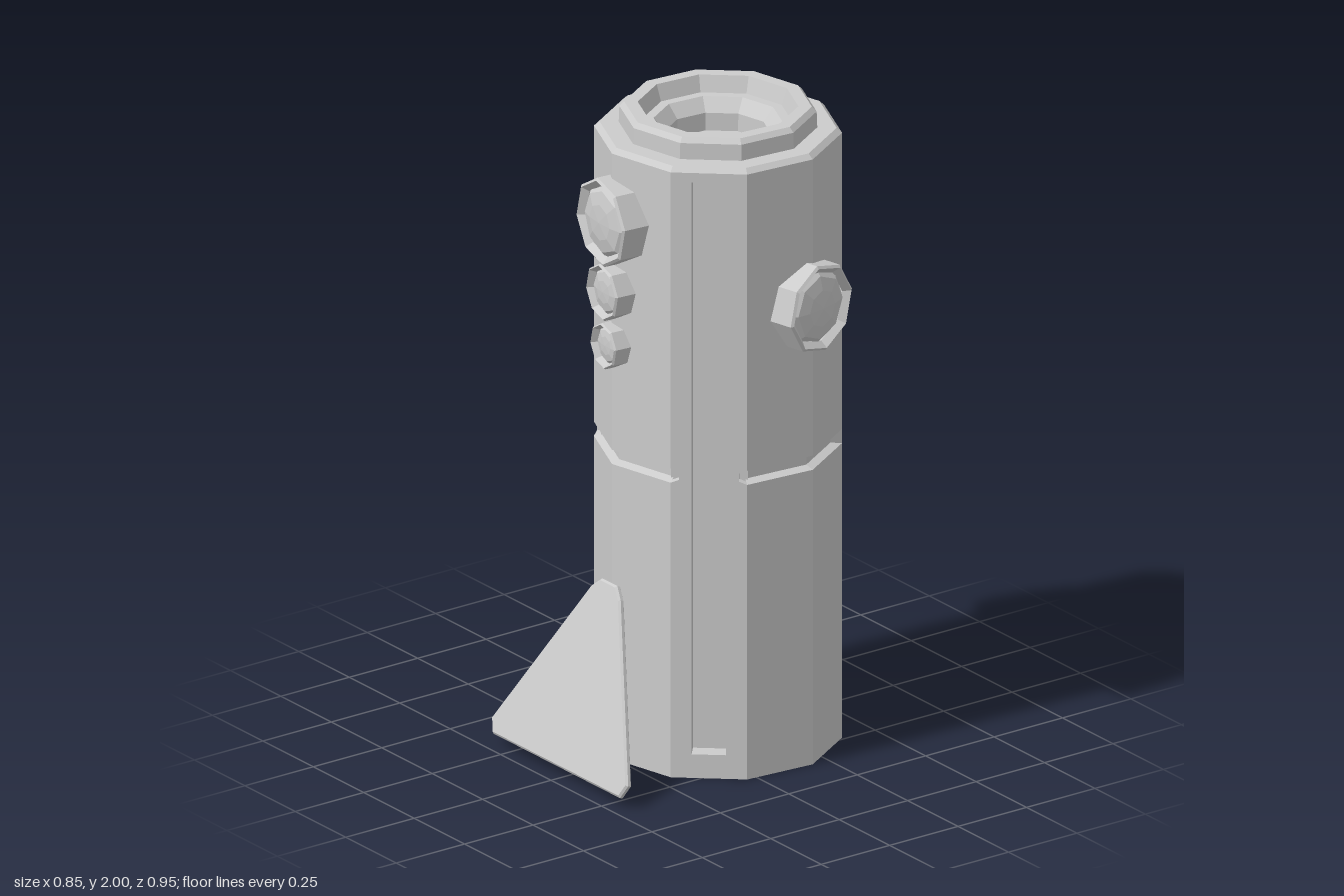
import * as THREE from 'three';

const R = 0.366;                      // corner radius of the ten-sided body
const DEG = Math.PI / 180;
const FRONT = -4.8, BACK = 175.2;     // headings measured from +z towards +x

const mat = new THREE.MeshStandardMaterial({ color: 0xcccccc, flatShading: true, side: THREE.DoubleSide });

function add(parent, name, geo, x = 0, y = 0, z = 0) {
  const mesh = new THREE.Mesh(geo, mat);
  mesh.name = name;
  mesh.position.set(x, y, z);
  parent.add(mesh);
  return mesh;
}

const lathe = (pts, segments, startDeg, spanDeg) => new THREE.LatheGeometry(
  pts.map(p => new THREE.Vector2(...p)), segments, startDeg * DEG, spanDeg * DEG);

const shapeOf = pts => new THREE.Shape(pts.map(p => new THREE.Vector2(...p)));

const extrude = (shape, depth) => new THREE.ExtrudeGeometry(shape, { depth, bevelEnabled: false });

// Group whose local +z points outward along a heading
function facing(parent, name, deg) {
  const g = new THREE.Group();
  g.name = name;
  g.rotation.y = deg * DEG;
  parent.add(g);
  return g;
}

// Flat face with a tall recessed channel; the belt groove runs a little into both edges
function slotPanel(parent, name, deg) {
  const g = facing(parent, name, deg);
  const w = R * Math.sin(18 * DEG), z = R * Math.cos(18 * DEG);
  const n = w - 0.025, skin = 0.025, deep = 0.055;
  const hole = new THREE.Path([[-0.051, 0.075], [-0.051, 1.89], [0.051, 1.89], [0.051, 0.075]]
    .map(p => new THREE.Vector2(...p)));
  const face = shapeOf([[-w, 0], [w, 0], [w, 0.935], [n, 0.945], [n, 0.97], [w, 0.98], [w, 1.92],
    [-w, 1.92], [-w, 0.98], [-n, 0.97], [-n, 0.945], [-w, 0.935]]);
  const channel = shapeOf([[-0.058, 0.068], [0.058, 0.068], [0.058, 1.897], [-0.058, 1.897]]);
  face.holes.push(hole);
  channel.holes.push(hole);
  add(g, 'slotFrame', extrude(face, skin), 0, 0, z - skin);
  add(g, 'slotChannel', extrude(channel, deep - skin), 0, 0, z - deep);
  add(g, 'slotBack', new THREE.BoxGeometry(0.116, 1.829, 0.006), 0, 0.9825, z - deep);
  for (const s of [-1, 1]) {
    add(g, 'grooveEnd', new THREE.BoxGeometry(0.03, 0.045, 0.006), s * (w - 0.015), 0.9575, z - skin);
  }
}

// Eight-sided straight knob with a faceted lens
function knob(parent, name, deg, y, r, out) {
  const g = facing(parent, name, deg);
  const bezel = add(g, 'bezel', lathe([[r, 0.31], [r, out - 0.006], [r * 0.94, out],
    [r * 0.8, out - 0.02]], 8, 8, 360), 0, y, 0);
  bezel.rotation.x = Math.PI / 2;
  const lens = add(g, 'lens', new THREE.SphereGeometry(r * 0.82, 8, 3, 0, Math.PI * 2, 0, Math.PI / 2),
    0, y, out - 0.022);
  lens.rotation.x = Math.PI / 2;
  lens.scale.y = 0.22;
}

// Strip of body above or below the rear opening; its middle corner is drawn in towards the opening
function openingStrip(parent, name, pts) {
  const geo = lathe(pts, 2, BACK - 36, 72);
  const p = geo.attributes.position;
  for (let i = 0; i < p.count; i++) {
    const mid = Math.abs(Math.atan2(p.getX(i), p.getZ(i)) - BACK * DEG) < 0.1;
    if (mid && p.getY(i) > 0.1 && p.getY(i) < 1.9) {
      p.setX(i, p.getX(i) * 0.92);
      p.setZ(i, p.getZ(i) * 0.92);
    }
  }
  add(parent, name, geo);
}

function rearBay(parent) {
  openingStrip(parent, 'baySill', [[R, 0], [R, 0.14], [0.33, 0.162], [0.1, 0.162]]);
  openingStrip(parent, 'bayLintel', [[0.1, 1.84], [0.33, 1.84], [R, 1.86], [R, 1.92]]);

  const g = facing(parent, 'rearBay', BACK);
  const ex = R * Math.sin(36 * DEG), ez = R * Math.cos(36 * DEG);
  for (const side of [-1, 1]) {
    const s = shapeOf([[ex, -ez], [ex - 0.024, -ez - 0.008], [ex - 0.03, -0.11], [ex, -0.11]]
      .map(([x, y]) => [side * x, y]));
    add(g, 'bayJamb', extrude(s, 1.74), 0, 0.13, 0).rotation.x = -Math.PI / 2;
  }
  add(g, 'bayBack', new THREE.BoxGeometry(0.4, 1.69, 0.02), 0, 1.0, 0.115);

  // Upper pipe bundle with clamps
  const cz = 0.19;
  for (let i = 0; i < 8; i++) {
    const a = i * Math.PI / 4 + 0.2;
    add(g, 'pipe', new THREE.CylinderGeometry(0.026, 0.026, 0.87, 8),
      0.062 * Math.cos(a), 1.385, cz + 0.062 * Math.sin(a));
  }
  add(g, 'pipeCore', new THREE.CylinderGeometry(0.055, 0.055, 0.89, 8), 0, 1.39, cz);
  for (const y of [1.735, 1.4, 1.075]) {
    add(g, 'pipeClamp', new THREE.TorusGeometry(0.1, 0.013, 6, 14), 0, y, cz).rotation.x = Math.PI / 2;
  }

  // Divider, lower column and row of rods
  add(g, 'divider', new THREE.CylinderGeometry(0.165, 0.165, 0.025, 12), 0, 0.945, 0.135);
  add(g, 'lowerColumn', new THREE.CylinderGeometry(0.08, 0.08, 0.79, 10), 0, 0.55, 0.17);
  for (let i = 0; i < 6; i++) {
    const rod = new THREE.Group();
    rod.name = 'rod';
    rod.position.set(0, 0.255 + i * 0.118, 0.265);
    g.add(rod);
    add(rod, 'rodBar', new THREE.CylinderGeometry(0.01, 0.01, 0.22, 6)).rotation.z = Math.PI / 2;
    add(rod, 'rodSleeve', new THREE.CapsuleGeometry(0.022, 0.09, 2, 8)).rotation.z = Math.PI / 2;
    for (const s of [-1, 1]) add(rod, 'rodEnd', new THREE.SphereGeometry(0.024, 8, 6), s * 0.11, 0, 0);
  }
}

// Leaning front plate with clipped corners
function fin(parent) {
  const s = shapeOf([[-0.348, 0.07], [-0.328, 0.035], [0.294, 0.035], [0.312, 0.07], [0.05, 0.53],
    [0.02, 0.56], [-0.05, 0.56], [-0.085, 0.53]].map(([x, y]) => [x, (y - 0.03) / 0.94]));
  const geo = new THREE.ExtrudeGeometry(s, {
    depth: 0.01, bevelThickness: 0.006, bevelSize: 0.006, bevelSegments: 1 });
  add(parent, 'fin', geo, 0, 0.03, 0.458).rotation.x = -0.346;
}

export function createModel() {
  const model = new THREE.Group();
  model.name = 'canister';
  const body = new THREE.Group();
  body.name = 'body';
  body.position.z = -0.11;
  model.add(body);

  // Plain double faces with a belt groove
  const wall = [[R, 0], [R, 0.935], [R - 0.025, 0.945], [R - 0.025, 0.97], [R, 0.98], [R, 1.92]];
  for (const [name, deg] of [['frontWall', FRONT], ['leftWall', 103.2], ['rightWall', -112.8]]) {
    add(body, name, lathe(wall, 2, deg - 36, 72));
  }
  slotPanel(body, 'leftSlot', 49.2);
  slotPanel(body, 'rightSlot', -58.8);
  rearBay(body);

  // Stepped collar and sunken top
  add(body, 'collar', lathe([[R, 1.92], [0.35, 1.935], [0.293, 1.935], [0.291, 1.985], [0.277, 2],
    [0.237, 2], [0.22, 1.95], [0.19, 1.95], [0.157, 1.91], [0.155, 1.855], [0, 1.855]], 10, FRONT, 360));

  // Knobs
  knob(body, 'largeFrontKnob', FRONT, 1.71, 0.137, 0.41);
  knob(body, 'middleFrontKnob', FRONT, 1.487, 0.088, 0.405);
  knob(body, 'smallFrontKnob', FRONT, 1.315, 0.071, 0.4);
  knob(body, 'leftKnob', 103.2, 1.457, 0.14, 0.405);
  knob(body, 'rightKnob', -112.8, 1.457, 0.14, 0.405);

  fin(model);
  return model;
}
